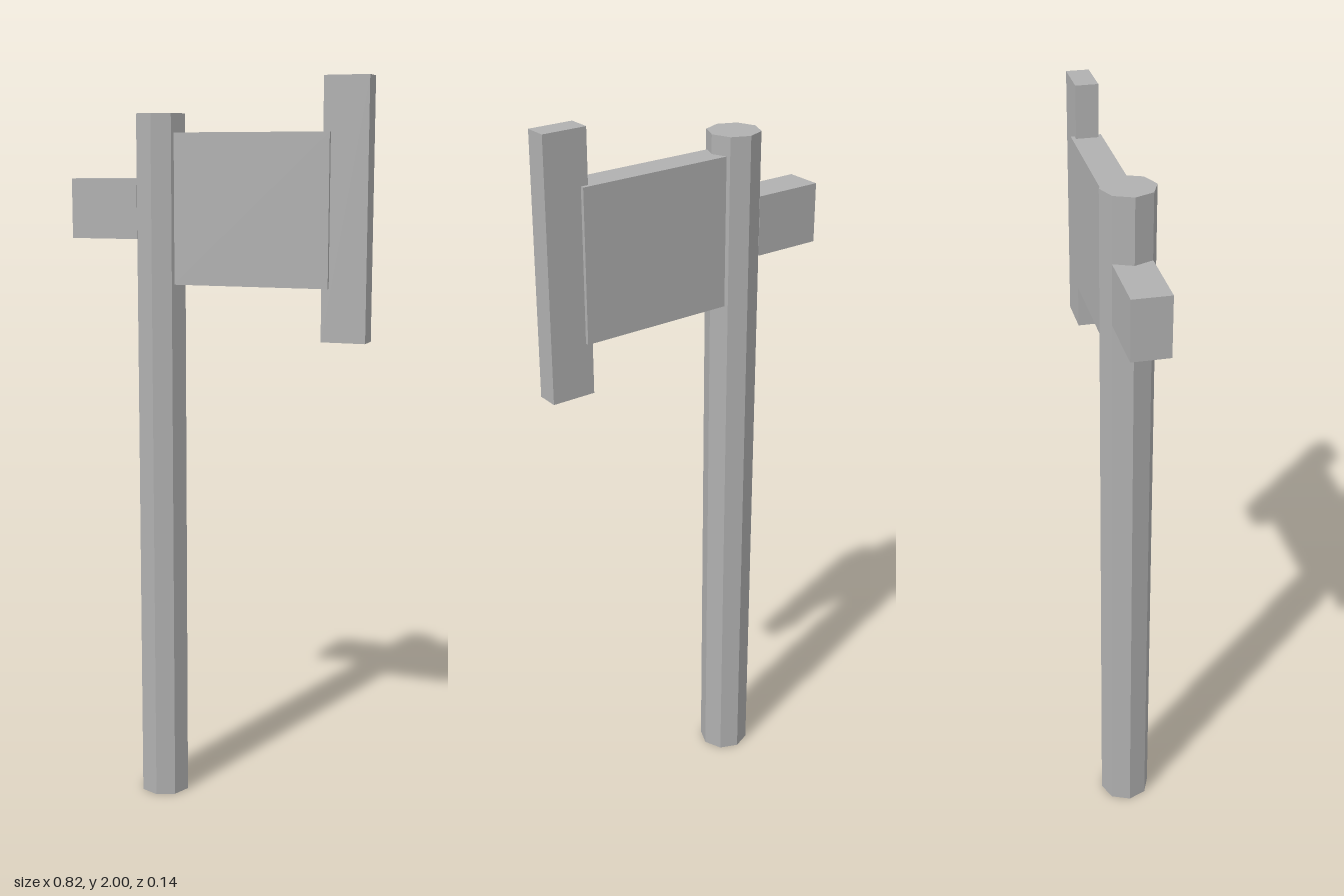
import * as THREE from 'three';

export function createModel() {
  const model = new THREE.Group();
  const grey = new THREE.MeshStandardMaterial({ color: 0xb0b0b0 });
  grey.name = 'grey';

  function add(name, geometry, x, y) {
    const mesh = new THREE.Mesh(geometry, grey);
    mesh.name = name;
    mesh.position.set(x, y, 0);
    model.add(mesh);
  }

  // Box given by its x and y limits and its depth, centred on z = 0
  function addBox(name, x0, x1, y0, y1, depth) {
    add(name, new THREE.BoxGeometry(x1 - x0, y1 - y0, depth), (x0 + x1) / 2, (y0 + y1) / 2);
  }

  // Octagonal shaft with flat facets
  const shaft = new THREE.CylinderGeometry(0.07, 0.07, 1.91, 8).toNonIndexed();
  shaft.computeVertexNormals();
  add('shaft', shaft, -0.17, 0.955);

  // Axe head: broad plate, tall cutting edge and rear block
  addBox('headPlate', -0.12, 0.31, 1.46, 1.86, 0.08);
  addBox('cuttingEdge', 0.29, 0.41, 1.32, 2.0, 0.06);
  addBox('rearBlock', -0.41, -0.22, 1.58, 1.74, 0.1);

  return model;
}
